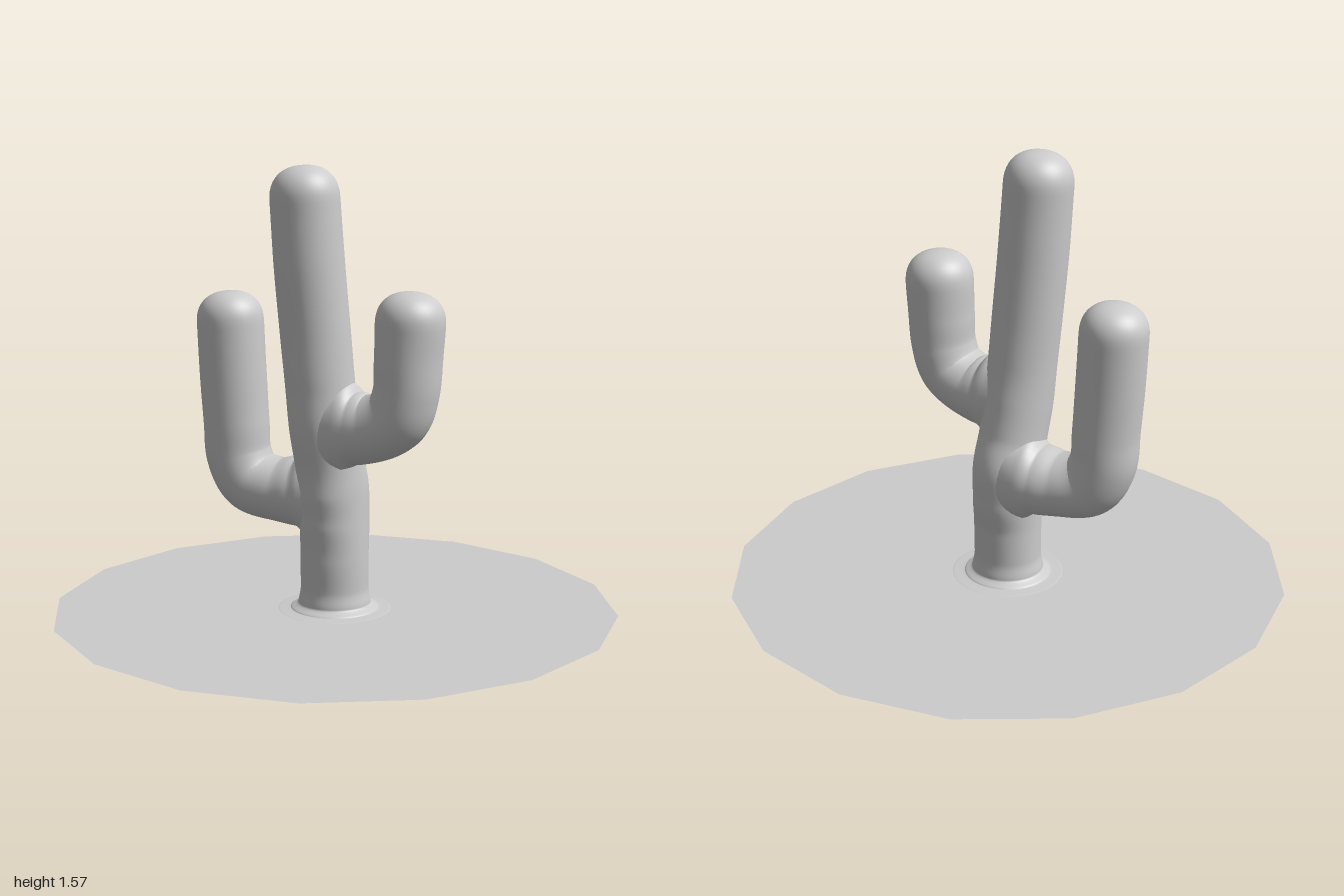
import * as THREE from 'three';

const SIDES = 40;

// Sweeps an oval section along stations [x, y, z, radius in the xy plane, radius along z],
// closing the far end with a blunt dome.
function limb(name, stations, steps, domeHeight, material) {
  const path = new THREE.CatmullRomCurve3(stations.map(s => new THREE.Vector3(s[0], s[1], s[2])));
  const zAxis = new THREE.Vector3(0, 0, 1);
  const positions = [], index = [];

  const addRing = (centre, tangent, ra, rb) => {
    const across = new THREE.Vector3().crossVectors(zAxis, tangent).normalize();
    const side = new THREE.Vector3().crossVectors(tangent, across).normalize();
    for (let j = 0; j < SIDES; j++) {
      const a = (j / SIDES) * Math.PI * 2;
      const p = centre.clone()
        .addScaledVector(across, ra * Math.cos(a))
        .addScaledVector(side, rb * Math.sin(a));
      positions.push(p.x, p.y, p.z);
    }
  };

  const last = stations.length - 1;
  for (let i = 0; i <= steps; i++) {
    const t = i / steps;
    const k = Math.min(Math.floor(t * last), last - 1);
    const f = THREE.MathUtils.smoothstep(t * last - k, 0, 1);
    const radius = c => THREE.MathUtils.lerp(stations[k][c], stations[k + 1][c], f);
    addRing(path.getPoint(t), path.getTangent(t), radius(3), radius(4));
  }

  // Blunt dome
  const end = path.getPoint(1), dir = path.getTangent(1);
  const domeSteps = 12;
  for (let i = 1; i <= domeSteps; i++) {
    const a = (i / domeSteps) * Math.PI / 2;
    const r = i === domeSteps ? 0 : Math.pow(Math.cos(a), 0.85);
    const centre = end.clone().addScaledVector(dir, domeHeight * Math.pow(Math.sin(a), 0.85));
    addRing(centre, dir, stations[last][3] * r, stations[last][4] * r);
  }

  const rings = positions.length / 3 / SIDES;
  for (let i = 0; i < rings - 1; i++) {
    for (let j = 0; j < SIDES; j++) {
      const n = (j + 1) % SIDES;
      const a = i * SIDES + j, b = i * SIDES + n;
      index.push(a, b, a + SIDES, b, b + SIDES, a + SIDES);
    }
  }
  const geometry = new THREE.BufferGeometry();
  geometry.setAttribute('position', new THREE.Float32BufferAttribute(positions, 3));
  geometry.setIndex(index);
  geometry.computeVertexNormals();
  const mesh = new THREE.Mesh(geometry, material);
  mesh.name = name;
  return mesh;
}

export function createModel() {
  const group = new THREE.Group();
  group.name = 'cactus';
  const grey = new THREE.MeshStandardMaterial({ color: 0xcccccc, side: THREE.DoubleSide });
  grey.name = 'plain grey';

  // Ground disc, open under the hollow trunk
  const ground = new THREE.Mesh(new THREE.RingGeometry(0.19, 1, 16, 1, -0.045), grey);
  ground.geometry.rotateX(-Math.PI / 2);
  ground.name = 'ground';
  group.add(ground);

  // Leaning trunk with a flared foot and swellings where the arms join
  group.add(limb('trunk', [
    [0, 0, 0, 0.2, 0.2],
    [0, 0.005, 0, 0.155, 0.155],
    [0, 0.025, 0, 0.128, 0.128],
    [0, 0.08, 0, 0.12, 0.12],
    [0, 0.2, 0, 0.12, 0.124],
    [-0.003, 0.32, -0.005, 0.12, 0.138],
    [-0.006, 0.43, -0.003, 0.12, 0.147],
    [-0.014, 0.55, 0.018, 0.118, 0.133],
    [-0.022, 0.67, 0.038, 0.12, 0.135],
    [-0.032, 0.82, 0.05, 0.12, 0.128],
    [-0.045, 1.0, 0.06, 0.122, 0.125],
    [-0.06, 1.22, 0.072, 0.122, 0.125],
    [-0.073, 1.45, 0.08, 0.121, 0.121],
  ], 120, 0.12, grey));

  // Lower arm, on the model's right
  group.add(limb('rightArm', [
    [-0.03, 0.41, -0.015, 0.17, 0.13],
    [-0.1, 0.41, -0.015, 0.155, 0.135],
    [-0.15, 0.408, -0.012, 0.125, 0.13],
    [-0.23, 0.408, -0.006, 0.114, 0.122],
    [-0.33, 0.435, 0.003, 0.117, 0.118],
    [-0.378, 0.52, 0.006, 0.117, 0.118],
    [-0.387, 0.64, 0.008, 0.117, 0.12],
    [-0.398, 0.82, 0.01, 0.119, 0.12],
    [-0.407, 1.0, 0.01, 0.119, 0.12],
  ], 90, 0.112, grey));

  // Upper arm, on the model's left
  group.add(limb('leftArm', [
    [0.0, 0.665, 0.045, 0.18, 0.12],
    [0.07, 0.67, 0.047, 0.16, 0.122],
    [0.12, 0.67, 0.05, 0.127, 0.12],
    [0.18, 0.677, 0.054, 0.117, 0.118],
    [0.265, 0.725, 0.057, 0.115, 0.118],
    [0.298, 0.81, 0.057, 0.113, 0.12],
    [0.306, 0.92, 0.057, 0.116, 0.122],
    [0.312, 1.045, 0.057, 0.12, 0.122],
  ], 90, 0.112, grey));

  return group;
}
